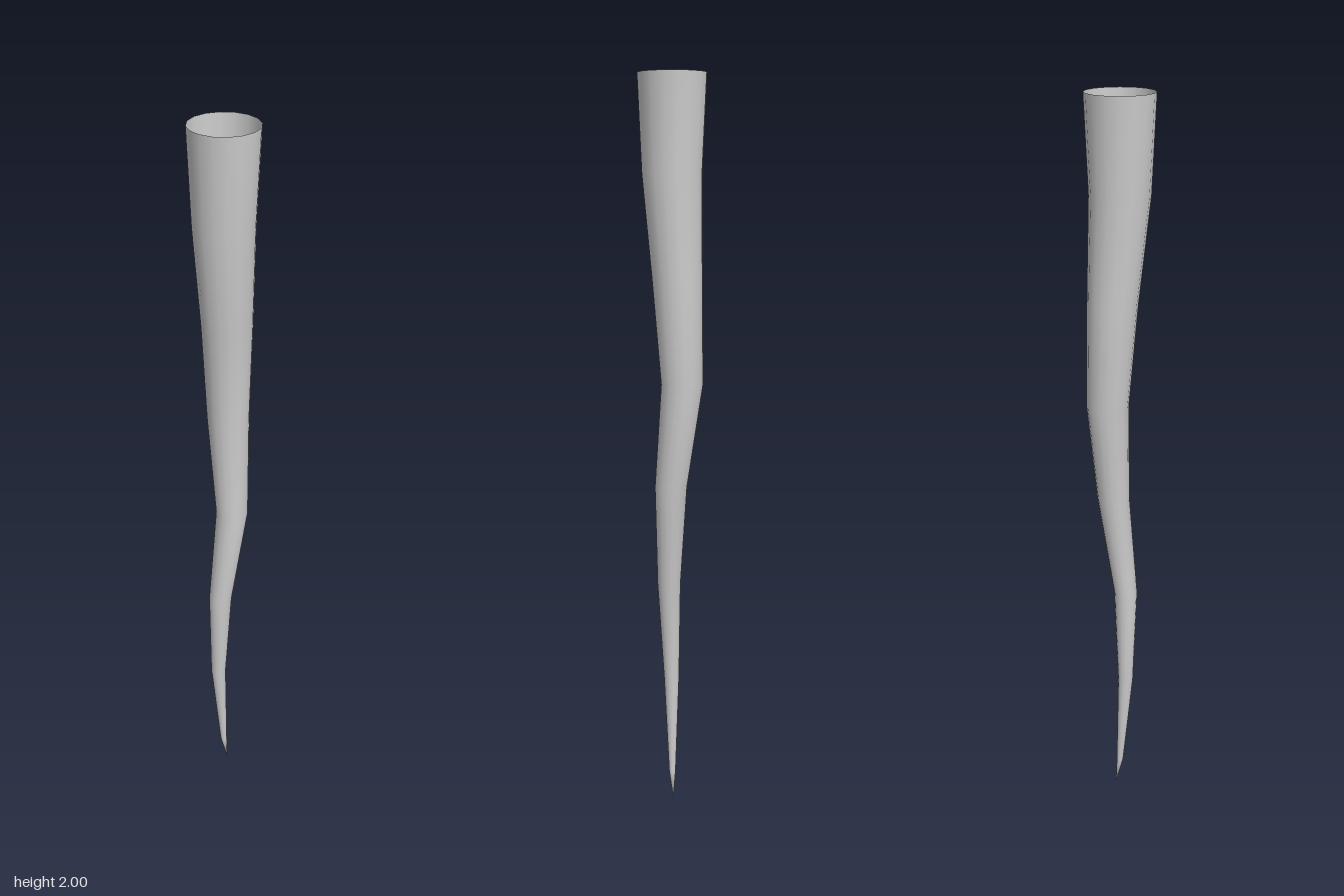
import * as THREE from 'three';
import { mergeVertices } from 'three/addons/utils/BufferGeometryUtils.js';

// Cross-sections from rim to tip: height, centre x, centre z, radius
const RINGS = [
  [2.0, 0, 0, 0.093],
  [1.74, 0, 0, 0.081],
  [1.46, 0.019, -0.005, 0.068],
  [1.18, 0.033, -0.012, 0.057],
  [0.9, 0.018, 0.014, 0.044],
  [0.62, -0.016, 0, 0.032],
  [0.35, -0.016, -0.008, 0.021],
  [0.08, 0, -0.001, 0.009],
  [0, 0.012, 0.003, 0],
];
const SIDES = 16;

export function createModel() {
  const group = new THREE.Group();
  group.name = 'taperedTendril';

  // Open cone whose rows are moved onto the winding cross-sections
  const cone = new THREE.CylinderGeometry(1, 0, 2, SIDES, RINGS.length - 1, true);
  const pos = cone.attributes.position;
  for (let i = 0; i < pos.count; i++) {
    const [y, cx, cz, r] = RINGS[Math.floor(i / (SIDES + 1))];
    const a = ((i % (SIDES + 1)) % SIDES) / SIDES * Math.PI * 2;
    pos.setXYZ(i, cx + r * Math.sin(a), y, cz + r * Math.cos(a));
  }

  // Weld the seam and the tip so the shading is smooth all round
  cone.deleteAttribute('uv');
  cone.deleteAttribute('normal');
  const skin = mergeVertices(cone, 1e-5);
  skin.computeVertexNormals();

  const tendril = new THREE.Mesh(
    skin,
    new THREE.MeshStandardMaterial({ color: 0xcccccc, side: THREE.DoubleSide })
  );
  tendril.name = 'tendril';
  group.add(tendril);
  return group;
}
